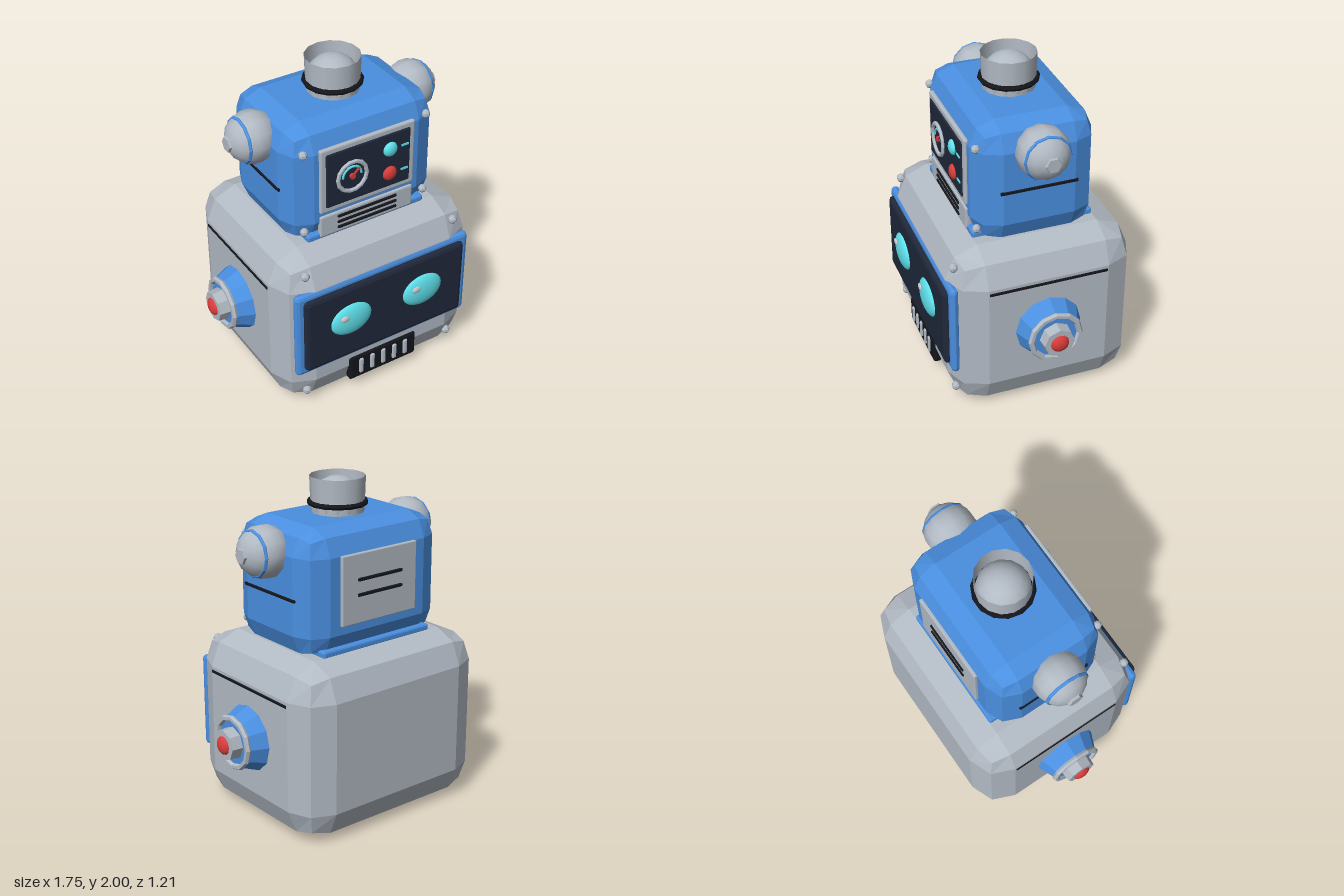
import * as THREE from 'three';

const mat = (color, extra = {}) => new THREE.MeshStandardMaterial({ color, ...extra });
const blue = mat(0x4a8fe0, { flatShading: true });
const grey = mat(0xb2bac4, { flatShading: true });
const greySmooth = mat(0xb2bac4, { side: THREE.DoubleSide });
const navy = mat(0x20283a, { flatShading: true });
const black = mat(0x14161c, { flatShading: true });
const cyan = mat(0x5fe3ee);
const red = mat(0xdc3c3c);
const white = mat(0xf2f2f2);

const Z0 = -0.035; // shared depth centre of the boxes

// Box whose edges carry a two-facet bevel of radius r
function bevelBox(w, h, d, r) {
  const g = new THREE.BoxGeometry(2, 2, 2, 3, 3, 3);
  const p = g.attributes.position;
  const half = new THREE.Vector3(w / 2 - r, h / 2 - r, d / 2 - r);
  const v = new THREE.Vector3();
  for (let i = 0; i < p.count; i++) {
    v.fromBufferAttribute(p, i);
    const inner = new THREE.Vector3(Math.sign(v.x), Math.sign(v.y), Math.sign(v.z)).multiply(half);
    for (const k of ['x', 'y', 'z']) if (Math.abs(v[k]) < 0.9) v[k] = 0;
    v.normalize().multiplyScalar(r).add(inner);
    p.setXYZ(i, v.x, v.y, v.z);
  }
  g.computeVertexNormals();
  return g;
}

export function createModel() {
  const root = new THREE.Group();

  const add = (name, geo, material, x = 0, y = 0, z = 0, parent = root) => {
    const m = new THREE.Mesh(geo, material);
    m.name = name;
    m.position.set(x, y, z);
    parent.add(m);
    return m;
  };
  // Bevelled box given by its limits on each axis
  const block = (name, material, x0, x1, y0, y1, z0, z1, r) =>
    add(name, bevelBox(x1 - x0, y1 - y0, z1 - z0, r), material, (x0 + x1) / 2, (y0 + y1) / 2, (z0 + z1) / 2);
  const ball = (name, material, x, y, z, rx, ry = rx, rz = rx, seg = 16) => {
    const m = add(name, new THREE.SphereGeometry(1, seg, Math.ceil(seg * 0.7)), material, x, y, z);
    m.scale.set(rx, ry, rz);
    return m;
  };

  // Main boxes
  block('head', grey, -0.667, 0.667, 0, 1.07, -0.603, 0.527, 0.197);
  block('body', blue, -0.5, 0.5, 1.03, 1.79, -0.4, 0.33, 0.15);
  block('bodyBase', blue, -0.4, 0.4, 1.06, 1.105, -0.405, 0.335, 0.012);

  // Face screen
  block('screenFrame', blue, -0.603, 0.603, 0.285, 0.875, 0.485, 0.537, 0.024);
  block('screen', navy, -0.556, 0.556, 0.322, 0.837, 0.495, 0.567, 0.025);
  for (const s of [-1, 1]) {
    const x = s * 0.252;
    ball('eye', cyan, x, 0.607, 0.56, 0.142, 0.111, 0.042, 24);
    ball('eyeGlint', white, x - 0.06, 0.645, 0.595, 0.03, 0.022, 0.01, 12);
  }

  // Mouth grille
  block('mouth', black, -0.24, 0.24, 0.085, 0.255, 0.49, 0.54, 0.014);
  for (let i = -2; i <= 2; i++) {
    const x = i * 0.08;
    block('mouthBar', grey, x - 0.015, x + 0.015, 0.12, 0.23, 0.525, 0.552, 0.009);
  }

  // Rivets on the head and body corners
  for (const s of [-1, 1]) {
    for (const y of [0.11, 0.975]) ball('headRivet', grey, s * 0.513, y, 0.488, 0.028, 0.028, 0.028, 7);
    for (const y of [1.135, 1.655]) ball('bodyRivet', grey, s * 0.41, y, 0.312, 0.026, 0.026, 0.026, 7);
  }

  // Control panel
  block('panelFrame', grey, -0.32, 0.315, 1.24, 1.663, 0.315, 0.346, 0.01);
  block('panel', navy, -0.285, 0.28, 1.275, 1.63, 0.325, 0.354, 0.008);
  const gauge = new THREE.Group();
  gauge.name = 'gauge';
  gauge.position.set(-0.117, 1.443, 0.356);
  root.add(gauge);
  add('gaugeRing', new THREE.TorusGeometry(0.096, 0.013, 6, 14), grey, 0, 0, 0.003, gauge);
  add('gaugeArc', new THREE.TorusGeometry(0.062, 0.008, 5, 14, Math.PI), cyan, 0, 0, 0, gauge);
  const needle = add('gaugeNeedle', new THREE.BoxGeometry(0.075, 0.011, 0.008), red, 0.02, 0.02, 0.006, gauge);
  needle.rotation.z = Math.PI / 4;
  const hub = add('gaugeHub', new THREE.CylinderGeometry(0.018, 0.018, 0.014, 10), red, 0, 0, 0.005, gauge);
  hub.rotation.x = Math.PI / 2;
  for (const [y, m] of [[1.53, cyan], [1.367, red]]) {
    ball('button', m, 0.14, y, 0.354, 0.047, 0.047, 0.026);
    add('buttonMark', new THREE.BoxGeometry(0.048, 0.012, 0.01), cyan, 0.24, y, 0.355);
  }

  // Vent below the panel
  block('vent', grey, -0.32, 0.313, 1.075, 1.217, 0.305, 0.343, 0.01);
  for (const y of [1.112, 1.149, 1.187]) block('ventSlot', black, -0.205, 0.2, y - 0.009, y + 0.009, 0.33, 0.352, 0.006);

  // Back hatch
  block('backHatch', grey, -0.277, 0.277, 1.23, 1.643, -0.418, -0.39, 0.006);
  for (const y of [1.4, 1.49]) block('hatchSlot', black, -0.165, 0.165, y - 0.01, y + 0.01, -0.428, -0.405, 0.006);

  // Open collar with a dome inside, and its ring
  add('collar', new THREE.CylinderGeometry(0.164, 0.156, 0.24, 14, 1, true), greySmooth, 0, 1.88, Z0);
  ball('dome', greySmooth, 0, 1.838, Z0, 0.16, 0.16, 0.16, 14);
  const collarRing = add('collarRing', new THREE.TorusGeometry(0.165, 0.016, 6, 14), black, 0, 1.845, Z0);
  collarRing.rotation.x = Math.PI / 2;

  // Side parts: local +y points outwards
  for (const s of [-1, 1]) {
    const side = (name, y) => {
      const g = new THREE.Group();
      g.name = name;
      g.position.set(0, y, Z0);
      g.rotation.z = -s * Math.PI / 2;
      root.add(g);
      return g;
    };
    const disc = (name, m, r1, r0, from, to, seg, parent) =>
      add(name, new THREE.CylinderGeometry(r1, r0, to - from, seg), m, 0, (from + to) / 2, 0, parent);
    const ring = (name, m, R, t, at, parent) => {
      add(name, new THREE.TorusGeometry(R, t, 6, 12), m, 0, at, 0, parent).rotation.x = Math.PI / 2;
    };

    const ear = side('ear', 0.537);
    disc('earCone', blue, 0.155, 0.213, 0.64, 0.778, 12, ear);
    ring('earRing', grey, 0.15, 0.019, 0.78, ear);
    disc('earCap', grey, 0.093, 0.1, 0.76, 0.847, 8, ear);
    const tip = add('earTip', new THREE.SphereGeometry(0.058, 12, 8), red, 0, 0.842, 0, ear);
    tip.scale.y = 0.55;

    const shoulder = side('shoulder', 1.637);
    add('shoulderBall', new THREE.SphereGeometry(0.157, 12, 9), greySmooth, 0, 0.535, 0, shoulder);
    ring('shoulderBand', blue, 0.129, 0.013, 0.61, shoulder);
    disc('shoulderKnob', grey, 0.045, 0.052, 0.66, 0.699, 6, shoulder);

    // Side seams
    block('headSeam', black, s * 0.665 - 0.008, s * 0.665 + 0.008, 0.836, 0.854, -0.4, 0.325, 0.004);
    block('bodySeam', black, s * 0.5 - 0.008, s * 0.5 + 0.008, 1.382, 1.4, -0.268, 0.198, 0.004);
  }

  return root;
}
